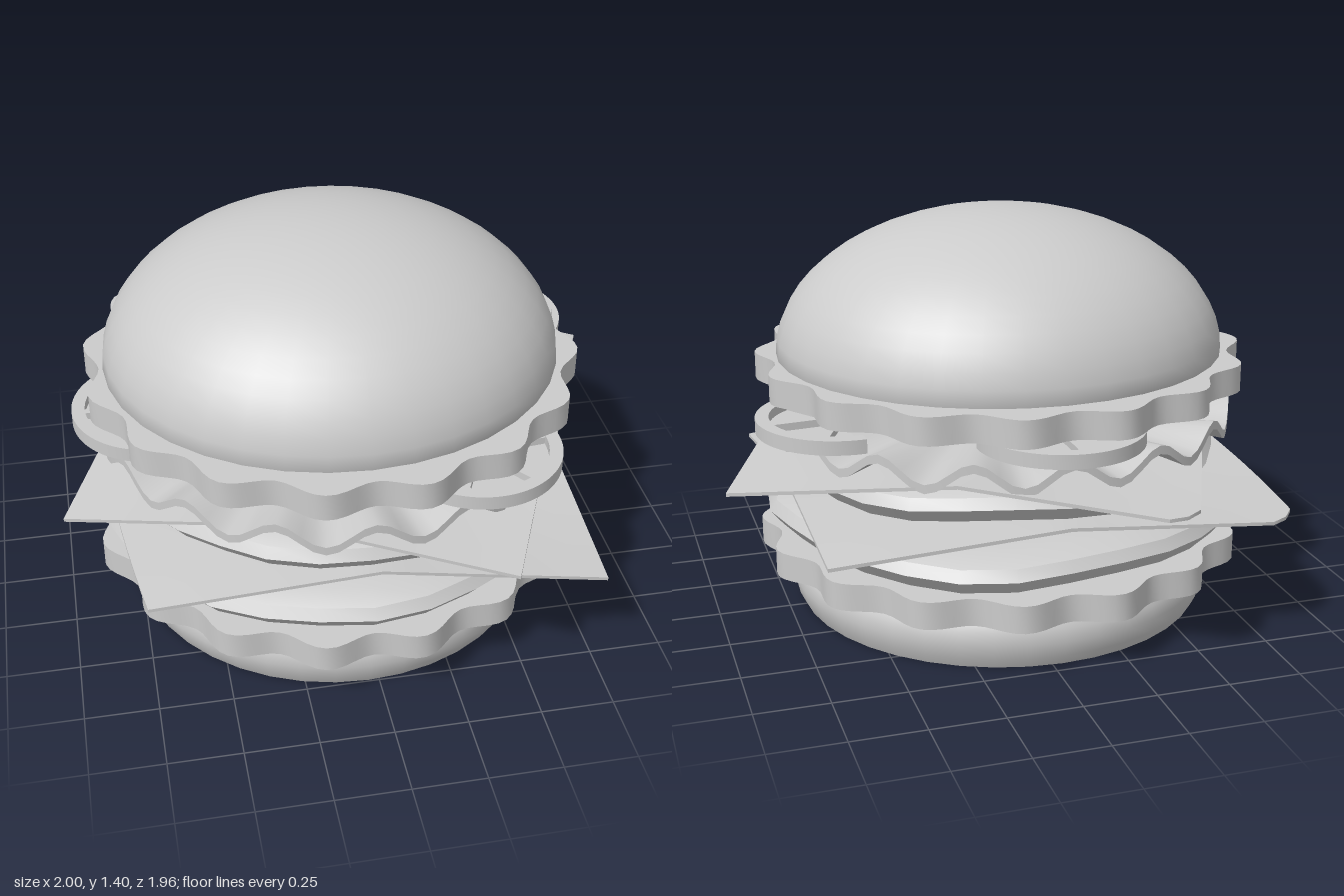
import * as THREE from 'three';
import { toCreasedNormals } from 'three/addons/utils/BufferGeometryUtils.js';

const CX = -0.035, CZ = 0.02; // axis of the stack
const mat = new THREE.MeshStandardMaterial({ color: 0xcccccc });
const thinMat = new THREE.MeshStandardMaterial({ color: 0xcccccc, side: THREE.DoubleSide });

function add(parent, name, geometry, x = CX, y = 0, z = CZ, material = mat) {
  const mesh = new THREE.Mesh(geometry, material);
  mesh.name = name;
  mesh.position.set(x, y, z);
  parent.add(mesh);
  return mesh;
}

// Move every vertex by a rule, then rebuild normals
function warp(geometry, rule, crease = 0.6) {
  const p = geometry.attributes.position, v = new THREE.Vector3();
  for (let i = 0; i < p.count; i++) {
    v.fromBufferAttribute(p, i);
    rule(v);
    p.setXYZ(i, v.x, v.y, v.z);
  }
  return toCreasedNormals(geometry, crease);
}

const lathe = (pts, segments) =>
  new THREE.LatheGeometry(pts.map(([r, y]) => new THREE.Vector2(r, y)), segments);

// Extrude a shape upward, outline lying in the xz plane
function slab(shape, depth) {
  const g = new THREE.ExtrudeGeometry(shape, { depth, bevelEnabled: false, curveSegments: 24 });
  return g.rotateX(-Math.PI / 2);
}

// Flat disc with sixteen soft scallops
function scallopedDisc(height) {
  const pts = [];
  for (let i = 0; i < 160; i++) {
    const a = (i / 160) * Math.PI * 2, r = 0.83 - 0.03 * Math.cos(16 * a);
    pts.push(new THREE.Vector2(r * Math.cos(a), r * Math.sin(a)));
  }
  return toCreasedNormals(slab(new THREE.Shape(pts), height), 0.6);
}

// Uneven round patty
function patty(radius, height, phase) {
  const h = height / 2;
  const g = lathe([[0, -h], [radius * 0.88, -h], [radius * 0.95, -h * 0.85], [radius, -h * 0.1],
    [radius * 0.97, h * 0.45], [radius * 0.89, h * 0.9], [radius * 0.7, h], [0, h]], 28);
  return warp(g, (v) => {
    const a = Math.atan2(v.x, v.z), r = Math.hypot(v.x, v.z) / radius;
    const k = 1 + 0.012 * Math.sin(5 * a + phase) + 0.008 * Math.sin(9 * a + 2 * phase);
    v.x *= k;
    v.z *= k;
    v.y += 0.012 * r * Math.sin(4 * a + phase);
  }, 0.5);
}

// Thin square slice: corners [x, z, drop] in order back left, back right, front left, front right
function cheese(corners, bow) {
  return warp(new THREE.BoxGeometry(2, 0.012, 2, 16, 1, 16), (p) => {
    let u = p.x, v = p.z;
    // one corner is trimmed
    if (u < 0 && v < 0) {
      const s = Math.max(1, -(u + v) / 1.9);
      u /= s;
      v /= s;
    }
    const w = [(1 - u) * (1 - v), (1 + u) * (1 - v), (1 - u) * (1 + v), (1 + u) * (1 + v)];
    const mix = (k) => corners.reduce((sum, c, i) => sum + (c[k] * w[i]) / 4, 0);
    const corner = corners[(u > 0 ? 1 : 0) + (v > 0 ? 2 : 0)];
    p.x = mix(0) - bow * (1 - v * v) * Math.max(0, -u);
    p.z = mix(1);
    p.y -= corner[2] * Math.abs(u * v);
  });
}

// Half tomato slice, round side toward local +x
function tomatoSlice() {
  const slice = new THREE.Group(), R = 0.28, q = Math.PI / 2;
  slice.name = 'tomatoSlice';
  const rim = new THREE.Shape();
  rim.absarc(0, 0, R, -q, q, false);
  rim.absarc(0, 0, R - 0.045, q, -q, true);
  add(slice, 'tomatoRim', toCreasedNormals(slab(rim, 0.048), 0.6), 0, 0, 0);
  const flesh = new THREE.Shape();
  flesh.absarc(0, 0, R - 0.02, -q, q, false);
  add(slice, 'tomatoFlesh', toCreasedNormals(slab(flesh, 0.015), 0.6), 0, 0.001, 0);
  for (const a of [-1.05, 0, 1.05]) {
    const spoke = add(slice, 'tomatoSpoke', new THREE.BoxGeometry(R - 0.04, 0.03, 0.025),
      0.12 * Math.cos(a), 0.026, -0.12 * Math.sin(a));
    spoke.rotation.y = a;
  }
  return slice;
}

export function createModel() {
  const burger = new THREE.Group();
  burger.name = 'burger';

  // Bottom bun
  add(burger, 'bottomBun', toCreasedNormals(lathe([[0, 0], [0.725, 0], [0.742, 0.035], [0.755, 0.09],
    [0.748, 0.135], [0.725, 0.18], [0.69, 0.2], [0, 0.2]], 40), 0.7));

  // Scalloped layers
  add(burger, 'lowerScallopedLayer', scallopedDisc(0.095), CX, 0.185, CZ);
  add(burger, 'upperScallopedLayer', scallopedDisc(0.095), CX, 0.805, CZ);

  // Patties
  add(burger, 'lowerPatty', patty(0.825, 0.135, 0.5), CX, 0.362, CZ);
  add(burger, 'upperPatty', patty(0.775, 0.13, 2.4), CX, 0.565, CZ);

  // Cheese slices with drooping corners
  add(burger, 'lowerCheese', cheese([[-0.83, -0.8, 0.05], [0.74, -0.71, 0.06],
    [-0.76, 0.74, 0.07], [0.76, 0.81, 0.115]], 0.05), 0, 0.493, 0, thinMat);
  add(burger, 'upperCheese', cheese([[-0.36, -1.03, 0.08], [1, -0.37, 0.07],
    [-1, 0.39, 0.1], [0.4, 0.97, 0.085]], 0), 0, 0.657, 0, thinMat);

  // Wavy lettuce leaf
  const leaf = lathe([[0, -0.015], [0.4, -0.015], [0.65, -0.015], [0.815, -0.015],
    [0.815, 0.015], [0.65, 0.015], [0.4, 0.015], [0, 0.015]], 128);
  add(burger, 'lettuce', warp(leaf, (v) => {
    const r = Math.hypot(v.x, v.z) / 0.815;
    v.y += 0.04 * r ** 3 * Math.cos(16 * Math.atan2(v.x, v.z));
  }), CX, 0.686, CZ);

  // Tomato half slices: centre x, z and outward turn
  for (const [x, z, turn] of [[0.6, -0.27, 0.1], [0.36, 0.55, -0.94],
    [-0.66, 0.1, Math.PI], [-0.05, -0.6, Math.PI / 2]]) {
    const slice = tomatoSlice();
    slice.position.set(x, 0.745, z);
    slice.rotation.y = turn;
    burger.add(slice);
  }

  // Domed top bun, slightly narrower front to back
  const dome = [[0, 0.88], [0.775, 0.88]];
  for (let i = 0; i <= 14; i++) {
    const a = (i / 14) * Math.PI / 2;
    dome.push([0.787 * Math.cos(a), 0.9 + 0.497 * Math.sin(a)]);
  }
  const topBun = add(burger, 'topBun', toCreasedNormals(lathe(dome, 36), 0.7));
  topBun.scale.z = 0.943;

  return burger;
}
